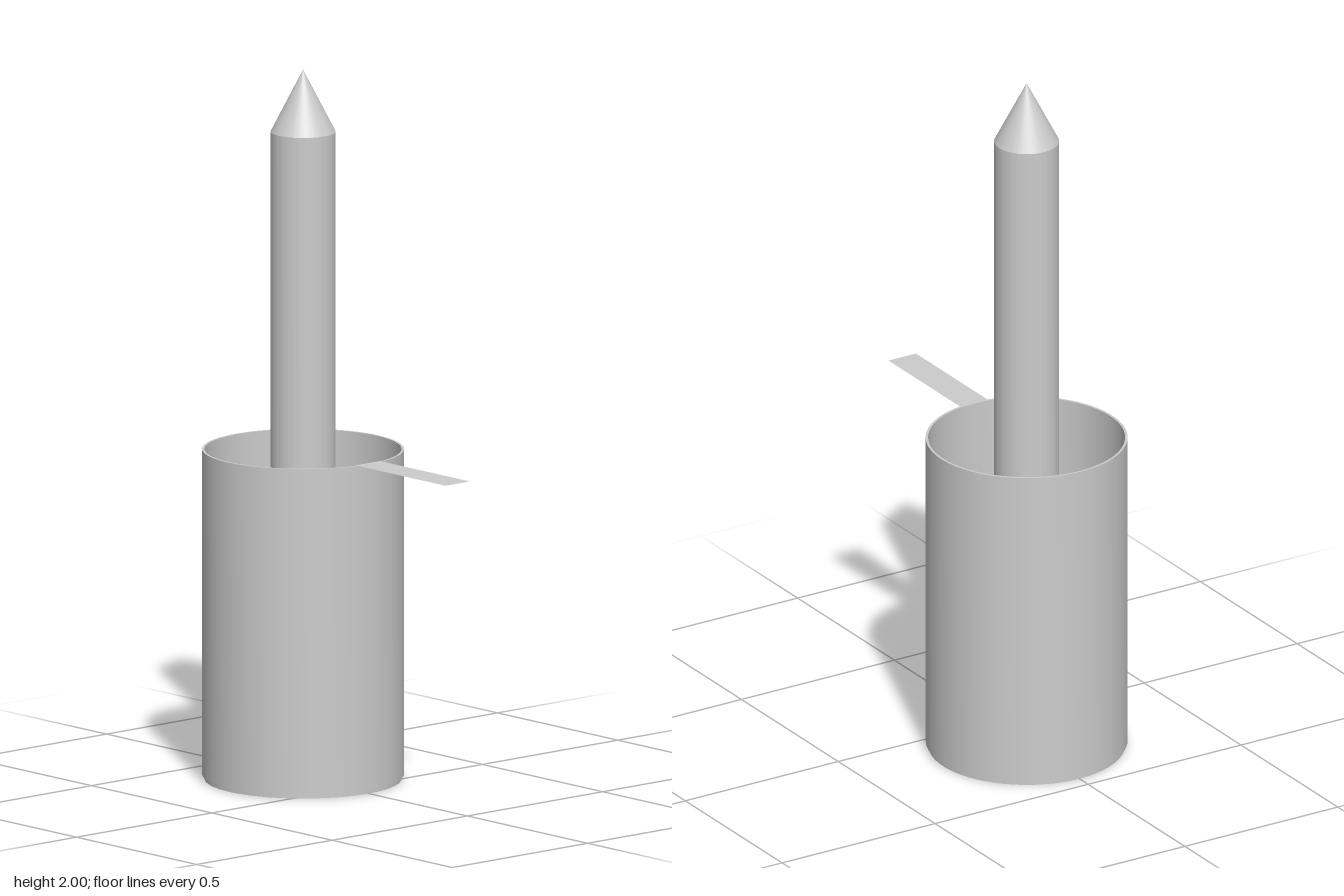
import * as THREE from 'three';
import { toCreasedNormals } from 'three/addons/utils/BufferGeometryUtils.js';

const AXIS_Z = -0.183;  // shared axis of the round parts
const BASE = 0.014;     // base plate thickness
const RIM = 0.93;       // top of the cup
const material = new THREE.MeshStandardMaterial({ color: 0xcccccc, side: THREE.DoubleSide });

// Turned part from [radius, y] points, listed bottom to top along the outside
function turned(name, points) {
  const profile = points.map(([r, y]) => new THREE.Vector2(r, y));
  const geometry = toCreasedNormals(new THREE.LatheGeometry(profile, 96), 0.4);
  const mesh = new THREE.Mesh(geometry, material);
  mesh.name = name;
  mesh.position.z = AXIS_Z;
  return mesh;
}

export function createModel() {
  const group = new THREE.Group();
  group.name = 'spikedCup';

  // Thin cup wall, open at the top
  group.add(turned('cupWall', [
    [0.272, BASE], [0.279, BASE], [0.279, RIM], [0.272, RIM], [0.272, BASE],
  ]));

  // Base plate with a round hole under the spike
  group.add(turned('basePlate', [
    [0.09, 0], [0.272, 0], [0.272, BASE], [0.09, BASE], [0.09, 0],
  ]));

  // Central shaft and its pointed tip
  group.add(turned('spikeShaft', [[0, BASE], [0.09, BASE], [0.09, 1.825]]));
  group.add(turned('spikeTip', [[0.09, 1.825], [0, 2]]));

  // Flat handle strip reaching forward from the rim
  const innerZ = 0.085, outerZ = 0.46;
  const handle = new THREE.Mesh(new THREE.PlaneGeometry(0.09, outerZ - innerZ), material);
  handle.name = 'handleStrip';
  handle.rotation.x = -Math.PI / 2;
  handle.position.set(0, RIM + 0.001, (innerZ + outerZ) / 2);
  group.add(handle);

  return group;
}
